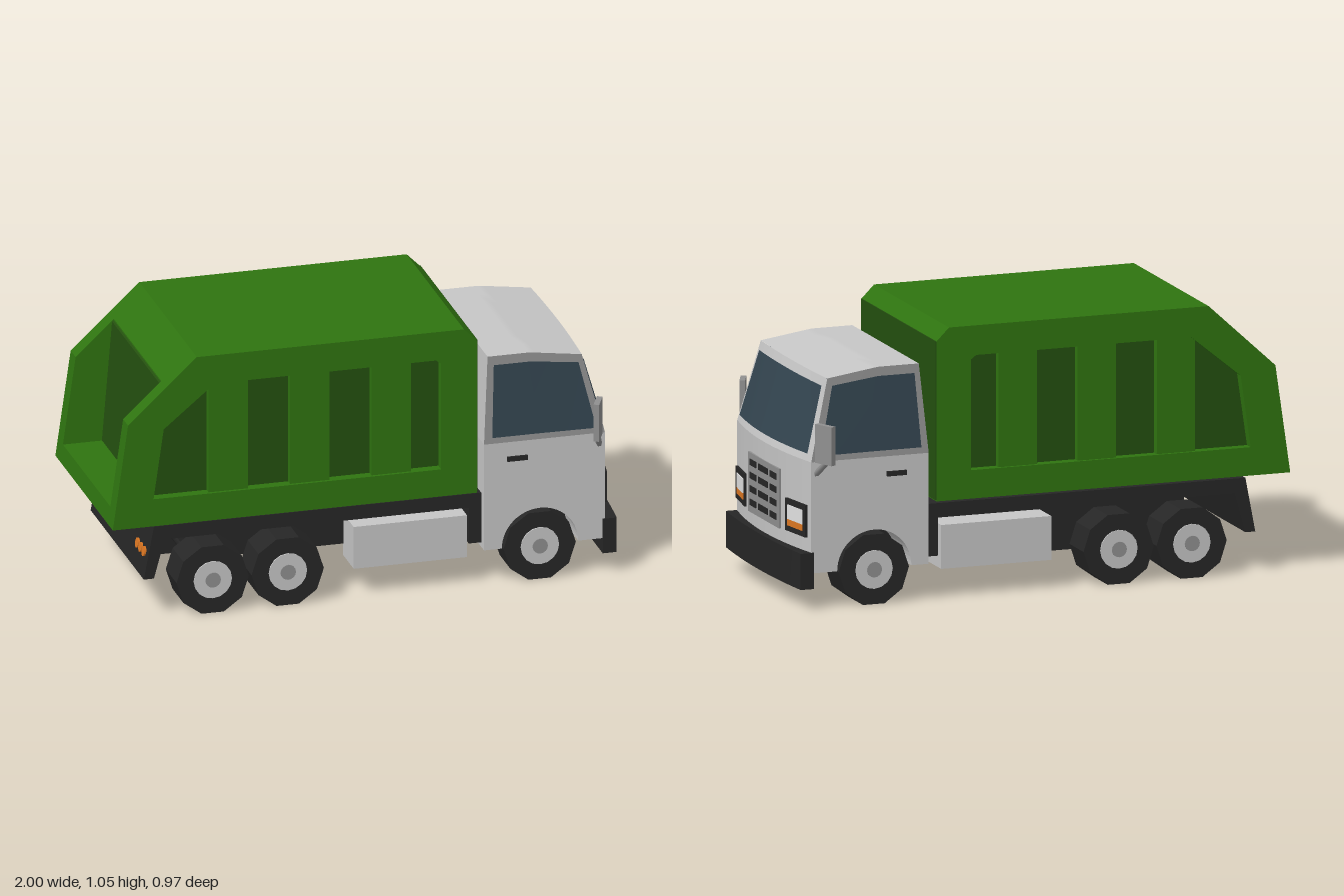
import * as THREE from 'three';
import { ParametricGeometry } from 'three/addons/geometries/ParametricGeometry.js';

const mat = (name, color, side = THREE.FrontSide) => {
  const m = new THREE.MeshStandardMaterial({ color, side });
  m.name = name;
  return m;
};
const lerp = THREE.MathUtils.lerp;

export function createModel() {
  const truck = new THREE.Group();
  truck.name = 'garbageTruck';
  const green = mat('green', 0x2f7410), darkGreen = mat('darkGreen', 0x24500f);
  const paint = mat('lightGrey', 0xc6c6c6), grey = mat('grey', 0x909090);
  const black = mat('black', 0x262626), glass = mat('glass', 0x33444f, THREE.DoubleSide);
  const orange = mat('orange', 0xdd7722), white = mat('lampWhite', 0xe2e2e2);

  const add = (name, geo, m, x = 0, y = 0, z = 0, parent = truck) => {
    const mesh = new THREE.Mesh(geo, m);
    mesh.name = name;
    mesh.position.set(x, y, z);
    parent.add(mesh);
    return mesh;
  };
  // box from its limits on each axis
  const box = (name, m, x0, x1, y0, y1, z0, z1, parent) =>
    add(name, new THREE.BoxGeometry(x1 - x0, y1 - y0, z1 - z0), m,
      (x0 + x1) / 2, (y0 + y1) / 2, (z0 + z1) / 2, parent);
  const shape = pts => new THREE.Shape(pts.map(p => new THREE.Vector2(...p)));
  // side profile extruded from z0 to z1
  const slab = (s, z0, z1, steps = 1) =>
    new THREE.ExtrudeGeometry(s, { depth: z1 - z0, steps, bevelEnabled: false, curveSegments: 14 }).translate(0, 0, z0);
  const patch = (fn, nu, nv) =>
    new ParametricGeometry((u, v, t) => t.set(...fn(u, v)), nu, nv);

  // Refuse body: hollowed core between two panelled side walls
  const outline = [[-1, .38], [.43, .38], [.43, 1], [.38, 1.05], [-.67, 1.05], [-.94, .8]];
  const recess = [[-.84, .49], [.29, .49], [.29, .92], [.27, .935], [-.6, .935], [-.8, .77]];
  add('bodyCore', slab(shape([[-1, .38], [.43, .38], [.43, 1], [.38, 1.05], [-.67, 1.05],
    [-.79, .94], [-.83, .45], [-.99, .45]]), -.33, .33), green);
  add('hopperWall', slab(shape([[-.79, .935], [-.83, .451], [-.837, .451], [-.797, .93]]), -.33, .33), darkGreen);
  box('bodyFront', darkGreen, .43, .434, .385, 1, -.398, .398);
  for (const s of [1, -1]) {
    const band = (a, b) => s > 0 ? [a, b] : [-b, -a];
    add('sideWall', slab(shape(outline), ...band(.33, .355)), green);
    const frame = shape(outline);
    frame.holes.push(shape(recess));
    add('sideFrame', slab(frame, ...band(.355, .4)), green);
    add('sidePanel', slab(shape(recess), ...band(.355, .36)), darkGreen);
    for (const x of [-.62, -.3, .02]) box('sideRib', green, x, x + .155, .49, .935, ...band(.355, .388));
  }

  // Chassis, rear light board and side lockers
  box('deck', black, -.83, .45, .31, .366, -.37, .37);
  box('chassisBeam', black, -.635, .46, .16, .31, -.23, .23);
  box('cabMount', black, .41, .465, .16, .36, -.36, .36);
  add('rearBoard', slab(shape([[-.83, .366], [-.87, .155], [-.83, .155], [-.785, .32], [-.785, .366]]), -.37, .37), black);
  for (const s of [1, -1]) {
    box('locker', paint, -.045, .4, .11, .28, Math.min(s * .22, s * .37), Math.max(s * .22, s * .37));
    for (let i = 0; i < 3; i++) {
      const lamp = add('rearLamp', new THREE.CylinderGeometry(.02, .02, .012, 8), orange, -.853, .25, s * (.23 + i * .045));
      lamp.rotation.z = Math.PI / 2 - .19;
    }
  }

  // Wheels
  const tyre = new THREE.CylinderGeometry(.142, .142, .15, 10).rotateY(Math.PI / 10).rotateX(Math.PI / 2).toNonIndexed();
  tyre.computeVertexNormals();
  const disc = (r, d) => new THREE.CylinderGeometry(r, r, d, 16).rotateX(Math.PI / 2);
  for (const x of [-.605, -.31, .68]) for (const s of [1, -1]) {
    const wheel = new THREE.Group();
    wheel.name = 'wheel';
    wheel.position.set(x, .135, s * .315);
    add('tyre', tyre, black, 0, 0, 0, wheel);
    add('rim', disc(.075, .008), paint, 0, 0, s * .076, wheel);
    add('hub', disc(.03, .008), grey, 0, 0, s * .08, wheel);
    truck.add(wheel);
  }
  const axle = disc(.03, .6);
  for (const x of [-.605, -.31, .68]) add('axle', axle, black, x, .135, 0);

  // Lower cab with wheel arches and a bowed front
  const lower = new THREE.Shape();
  lower.moveTo(.46, .14);
  lower.lineTo(.53, .14);
  lower.absarc(.68, .14, .15, Math.PI, 0, true);
  lower.lineTo(.975, .14);
  lower.lineTo(.975, .57);
  lower.lineTo(.46, .57);
  const bow = (geo, from, sag) => {
    const p = geo.attributes.position;
    for (let i = 0; i < p.count; i++)
      if (p.getX(i) > from) p.setX(i, p.getX(i) - sag * (p.getZ(i) / .395) ** 2);
    geo.computeVertexNormals();
    return geo;
  };
  add('cabLower', bow(slab(lower, -.395, .395, 12), .9, .04), paint);
  box('cabFloor', black, .465, .93, .125, .32, -.235, .235);
  add('bumper', bow(new THREE.BoxGeometry(.075, .14, .8, 1, 1, 12), 0, .02), black, .9625, .15, 0);

  // Upper cab as curved panels tapering to the roof
  const topY = x => x < .65 ? .91 : .91 - .03 * (x - .65) / .21;
  const front = (u, v, out = 0) => [
    lerp(.975, .865, v) - lerp(.04, .01, v) * u * u + out, lerp(.57, .88, v), -u * lerp(.395, .355, v)];
  const flank = (s, u, v, out = 0) => {
    const t = s > 0 ? u : 1 - u;
    const x = lerp(lerp(.46, .485, v), lerp(.935, .855, v), t);
    const top = topY(lerp(.485, .855, t));
    return [x, lerp(.57, top, v), s * (lerp(.395, .355, v) + out)];
  };
  add('windscreenFrame', patch((u, v) => front(u * 2 - 1, v), 12, 4), paint);
  add('windscreen', patch((u, v) => front((u * 2 - 1) * .925, lerp(.09, .9, v), .005), 12, 4), glass);
  add('roof', patch((u, v) => {
    const w = 1 - 2 * v, x = lerp(.485, .865 - .01 * w * w, u);
    return [x, topY(x), w * .355];
  }, 16, 8), paint);
  add('cabBack', patch((u, v) => [lerp(.46, .485, v), lerp(.57, .91, v), (u * 2 - 1) * lerp(.395, .355, v)], 1, 1), paint);
  for (const s of [1, -1]) {
    add('windowFrame', patch((u, v) => flank(s, u, v), 16, 4), grey);
    add('sideWindow', patch((u, v) => flank(s, lerp(.065, .94, u), lerp(.07, .9, v), .004), 16, 4), glass);
    box('doorHandle', black, .55, .63, .493, .512, s * .398 - .005, s * .398 + .005);

    // Mirror and its bracket
    const mirror = add('mirror', new THREE.BoxGeometry(.022, .15, .088), grey, .895, .645, s * .44);
    mirror.rotation.y = -s * .42;
    const arm = new THREE.LineCurve3(new THREE.Vector3(.89, .58, s * .45), new THREE.Vector3(.915, .52, s * .385));
    add('mirrorArm', new THREE.TubeGeometry(arm, 1, .012, 6), grey);

    // Headlamp, turned to follow the bowed front
    const lamp = new THREE.Group();
    lamp.name = 'headlamp';
    lamp.position.set(.955, 0, s * .2925);
    lamp.rotation.y = -s * .15;
    box('lampFrame', black, -.002, .007, .275, .4, -.078, .078, lamp);
    box('lampGlass', white, .005, .0095, .322, .378, -.057, .057, lamp);
    box('indicator', orange, .005, .0095, .297, .322, -.057, .057, lamp);
    truck.add(lamp);
  }

  // Grille with rows of slots
  box('grille', grey, .97, .979, .27, .5, -.165, .165);
  for (const y of [.31, .362, .414, .465]) for (const [z, w] of [[-.108, .065], [0, .095], [.108, .065]])
    box('grilleSlot', black, .977, .982, y - .012, y + .012, z - w / 2, z + w / 2);

  return truck;
}
